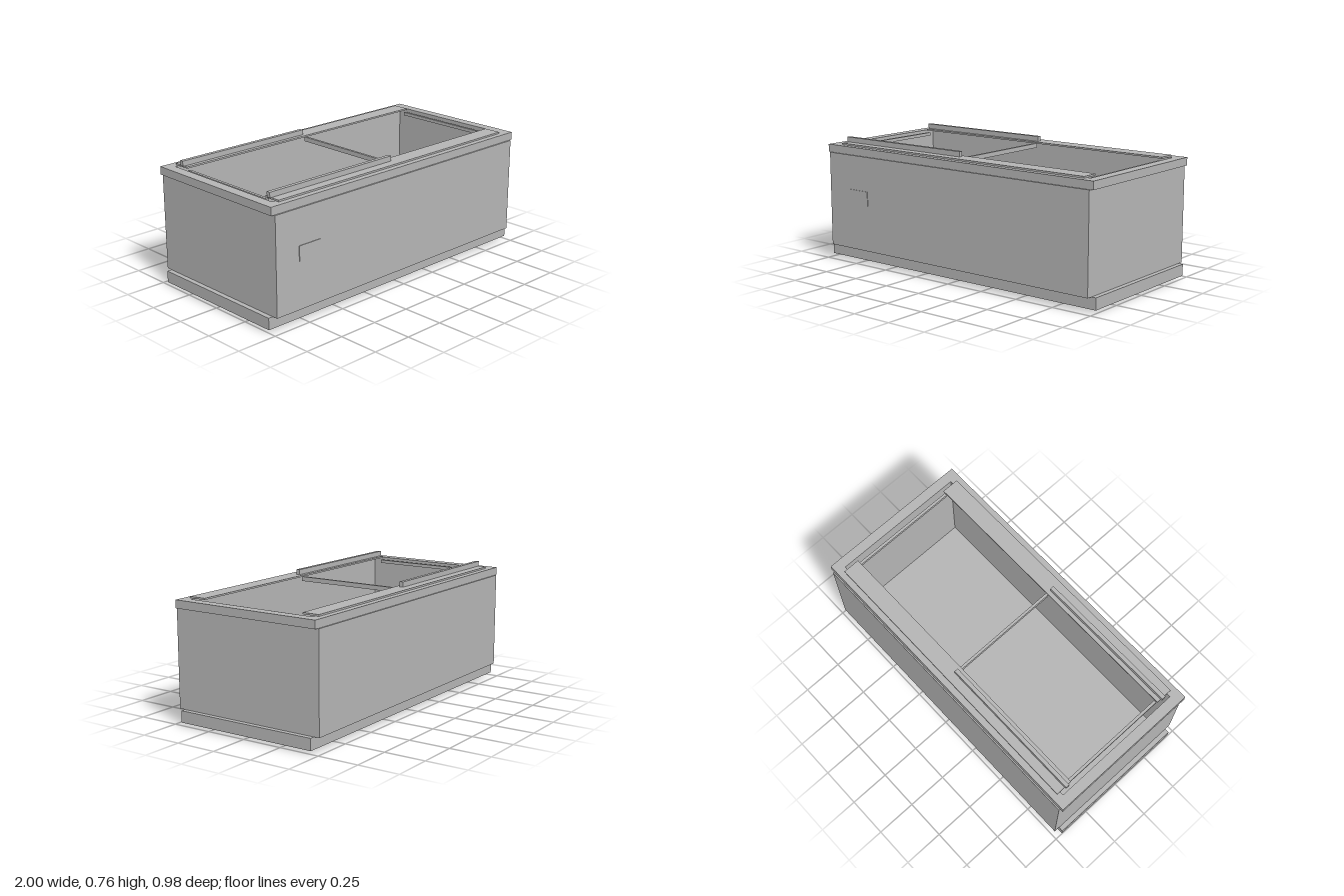
import * as THREE from 'three';

const grey = new THREE.MeshStandardMaterial({ color: 0xb4b4b4 });
grey.name = 'cabinetGrey';

// Box given by its min and max on each axis
function box(name, [x0, x1], [y0, y1], [z0, z1]) {
  const mesh = new THREE.Mesh(new THREE.BoxGeometry(x1 - x0, y1 - y0, z1 - z0), grey);
  mesh.position.set((x0 + x1) / 2, (y0 + y1) / 2, (z0 + z1) / 2);
  mesh.name = name;
  return mesh;
}

// Rectangle in plan; shape y maps to -z once laid flat
function rect(target, x, z0, z1) {
  target.moveTo(-x, -z1);
  target.lineTo(x, -z1);
  target.lineTo(x, -z0);
  target.lineTo(-x, -z0);
  target.closePath();
  return target;
}

// Rectangular tube standing upright between y0 and y1
function frame(name, y0, y1, outer, inner) {
  const shape = rect(new THREE.Shape(), ...outer);
  shape.holes.push(rect(new THREE.Path(), ...inner));
  const geometry = new THREE.ExtrudeGeometry(shape, { depth: y1 - y0, bevelEnabled: false });
  geometry.rotateX(-Math.PI / 2);
  const mesh = new THREE.Mesh(geometry, grey);
  mesh.position.y = y0;
  mesh.name = name;
  return mesh;
}

export function createModel() {
  const model = new THREE.Group();
  model.name = 'chestCabinet';
  const well = [0.93, -0.42, 0.415];

  // Foot frame, plinth, hollow body and top rim
  model.add(
    frame('footFrame', 0, 0.018, [0.457, -0.388, 0.386], [0.43, -0.364, 0.361]),
    box('plinth', [-1, 1], [0.018, 0.088], [-0.453, 0.45]),
    frame('body', 0.088, 0.672, [0.971, -0.488, 0.486], well),
    frame('topRim', 0.672, 0.72, [0.991, -0.48, 0.477], well),
  );

  // Front and back rail plates with a raised runner over one half
  for (const [side, plate, runner] of [
    ['front', [0.336, 0.442], [0.361, 0.385]],
    ['back', [-0.443, -0.339], [-0.388, -0.364]],
  ]) {
    model.add(
      box(side + 'RailPlate', [-0.907, 0.907], [0.72, 0.73], plate),
      box(side + 'Runner', [-0.918, -0.002], [0.73, 0.761], runner),
    );
  }

  // Cross bars at both ends and in the middle of the opening
  const span = [-0.341, 0.338];
  model.add(
    box('rightCrossBar', [-0.9, -0.883], [0.688, 0.708], span),
    box('leftCrossBar', [0.883, 0.9], [0.688, 0.708], span),
    box('middleCrossBar', [-0.01, 0.006], [0.695, 0.722], span),
  );

  // Thin plate on the front
  model.add(box('frontPlate', [-0.808, -0.652], [0.372, 0.46], [0.486, 0.49]));

  return model;
}
